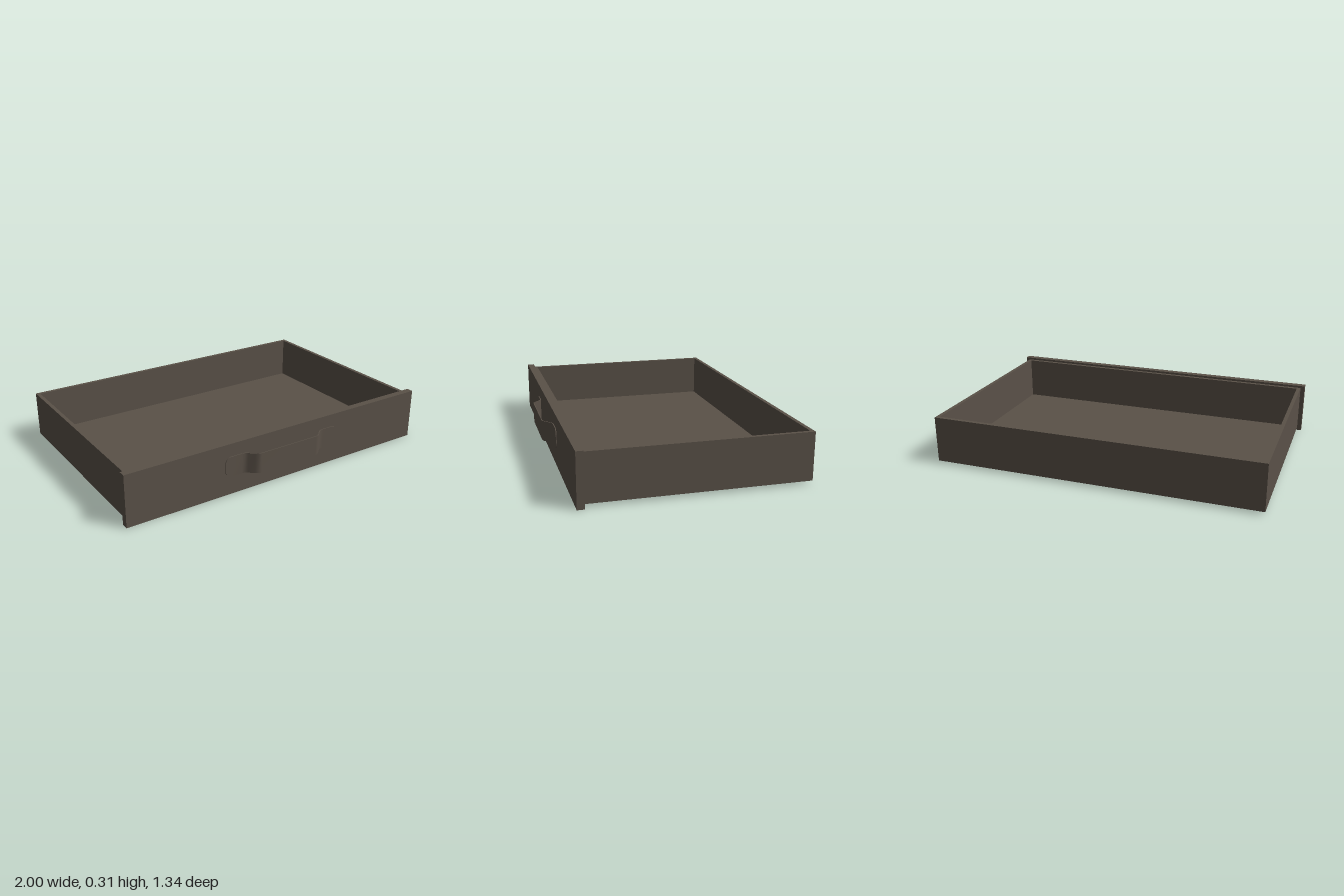
import * as THREE from 'three';

const material = new THREE.MeshStandardMaterial({ color: 0x5a5148 });

function addMesh(group, name, geometry, x, y, z) {
  const mesh = new THREE.Mesh(geometry, material);
  mesh.name = name;
  mesh.position.set(x, y, z);
  group.add(mesh);
}

function rectangle(Type, w, d) {
  return new Type([[-w, -d], [w, -d], [w, d], [-w, d]].map(([x, y]) => new THREE.Vector2(x / 2, y / 2)));
}

// Flat strip bent along a mirrored path, with rounded end corners
function handleGeometry() {
  const height = 0.12, thick = 0.005, radius = 0.035, end = 0.39;
  const half = [[0.19, 0.056], [0.206, 0.053], [0.222, 0.042], [0.25, 0.016], [0.264, 0.006],
    [0.285, 0.003], [0.355, 0.003], [0.36, 0.003], [0.37, 0.003], [0.38, 0.003], [0.386, 0.003], [end, 0.003]];
  const path = [...half.map(([x, z]) => [-x, z]).reverse(), ...half].map(([x, z]) => new THREE.Vector2(x, z));
  const last = path.length - 1;
  const geometry = new THREE.BoxGeometry(1, 1, 1, last, 1, 1);
  const pos = geometry.attributes.position;
  for (let i = 0; i < pos.count; i++) {
    const k = Math.round((pos.getX(i) + 0.5) * last);
    const p = path[k];
    const t = path[Math.min(k + 1, last)].clone().sub(path[Math.max(k - 1, 0)]).normalize();
    const inset = Math.max(0, radius - (end - Math.abs(p.x)));
    const h = height - 2 * radius + 2 * Math.sqrt(radius * radius - inset * inset);
    const offset = pos.getZ(i) * thick;
    pos.setXYZ(i, p.x - t.y * offset, pos.getY(i) * h, p.y + t.x * offset);
  }
  geometry.computeVertexNormals();
  return geometry;
}

export function createModel() {
  const drawer = new THREE.Group();
  drawer.name = 'drawer';

  // Four walls as one open frame
  const width = 1.95, depth = 1.242, wall = 0.022, base = 0.018, centreZ = -0.051;
  const frame = rectangle(THREE.Shape, width, depth);
  frame.holes.push(rectangle(THREE.Path, width - 2 * wall, depth - 2 * wall));
  const walls = new THREE.ExtrudeGeometry(frame, { depth: 0.275, bevelEnabled: false });
  walls.rotateX(-Math.PI / 2);
  addMesh(drawer, 'walls', walls, 0, base, centreZ);

  // Thin bottom panel fitted between the walls
  addMesh(drawer, 'bottomPanel', new THREE.BoxGeometry(width - 2 * wall, 0.014, depth - 2 * wall), 0, base + 0.007, centreZ);

  // Overhanging front panel and its pull
  addMesh(drawer, 'frontPanel', new THREE.BoxGeometry(2, 0.306, 0.041), 0, 0.153, 0.5905);
  addMesh(drawer, 'handle', handleGeometry(), -0.01, 0.17, 0.611);

  return drawer;
}
